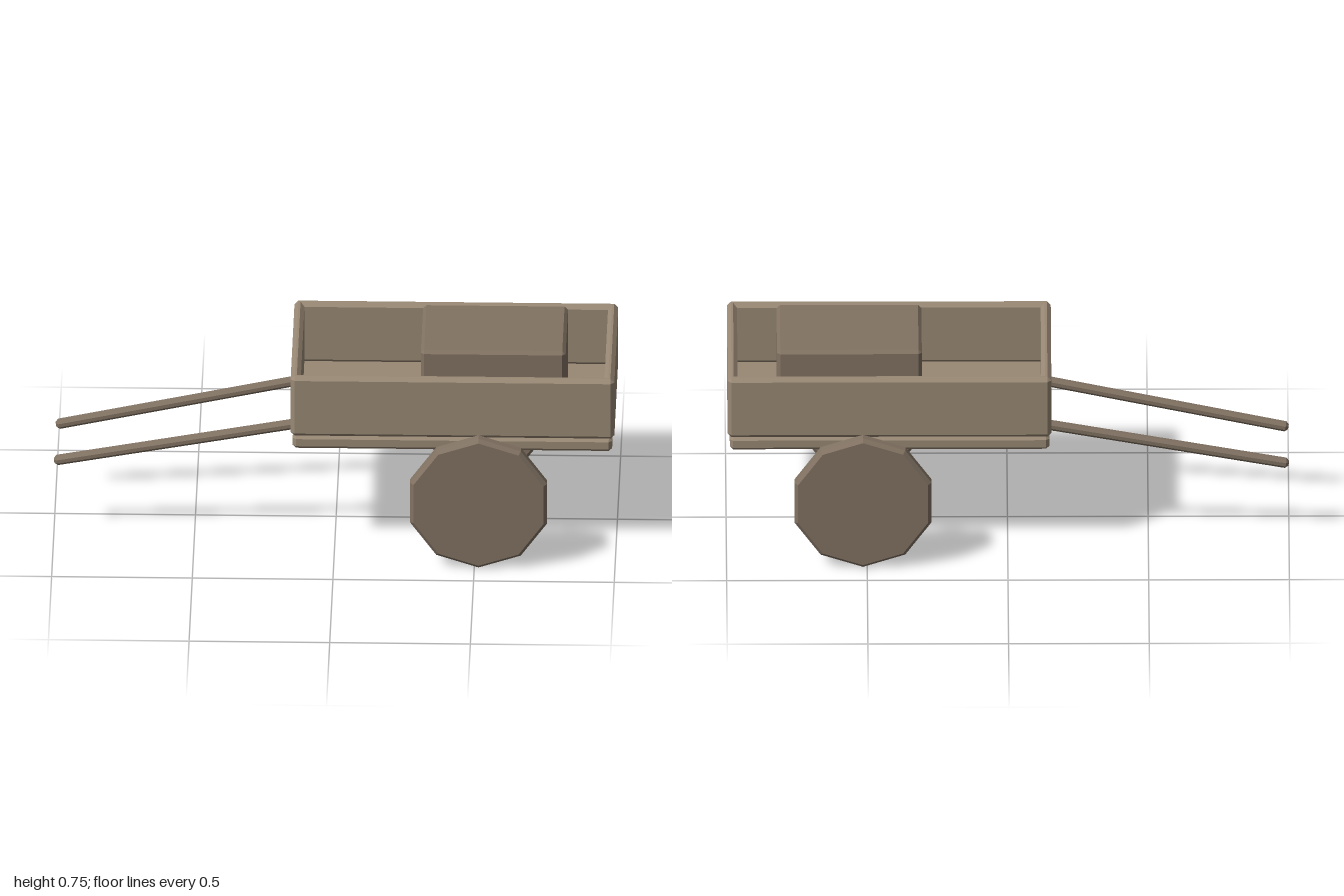
import * as THREE from 'three';
import { ConvexGeometry } from 'three/addons/geometries/ConvexGeometry.js';

const lightWood = new THREE.MeshStandardMaterial({ color: 0x998975, flatShading: true });
lightWood.name = 'lightWood';
const darkWood = new THREE.MeshStandardMaterial({ color: 0x827363, flatShading: true });
darkWood.name = 'darkWood';

// Box with every edge cut by a flat chamfer c
function chamferBox(w, h, d, c) {
  const points = [];
  for (const sx of [-1, 1]) for (const sy of [-1, 1]) for (const sz of [-1, 1]) {
    const x = w / 2, y = h / 2, z = d / 2;
    points.push(
      new THREE.Vector3(sx * x, sy * (y - c), sz * (z - c)),
      new THREE.Vector3(sx * (x - c), sy * y, sz * (z - c)),
      new THREE.Vector3(sx * (x - c), sy * (y - c), sz * z));
  }
  return new ConvexGeometry(points);
}

export function createModel() {
  const cart = new THREE.Group();
  cart.name = 'handcart';

  const add = (name, geometry, material, x, y, z) => {
    const mesh = new THREE.Mesh(geometry, material);
    mesh.name = name;
    mesh.position.set(x, y, z);
    cart.add(mesh);
    return mesh;
  };
  // Chamfered block given by its lower and upper limits
  const block = (name, material, [x0, x1], [y0, y1], [z0, z1], c) =>
    add(name, chamferBox(x1 - x0, y1 - y0, z1 - z0, c), material,
      (x0 + x1) / 2, (y0 + y1) / 2, (z0 + z1) / 2);

  // Bed and the four boards around it
  block('bed', lightWood, [-0.148, 0.988], [0.42, 0.472], [-0.308, 0.308], 0.012);
  const wallY = [0.47, 0.707];
  block('frontWall', lightWood, [-0.155, 0.996], wallY, [0.276, 0.312], 0.014);
  block('backWall', lightWood, [-0.155, 0.996], wallY, [-0.312, -0.276], 0.014);
  block('rightEndWall', lightWood, [-0.155, -0.119], wallY, [-0.312, 0.312], 0.014);
  block('leftEndWall', lightWood, [0.96, 0.996], wallY, [-0.312, 0.312], 0.014);

  // Load
  block('crate', darkWood, [0.305, 0.82], [0.468, 0.755], [-0.188, 0.188], 0.012);

  // Ten-sided solid wheels with chamfered rims
  const r = 0.256, h = 0.027, c = 0.013;
  const wheel = new THREE.LatheGeometry(
    [[0, -h], [r - c, -h], [r, c - h], [r, h - c], [r - c, h], [0, h]]
      .map(([x, y]) => new THREE.Vector2(x, y)), 10).rotateX(Math.PI / 2);

  for (const side of [1, -1]) {
    const label = side > 0 ? 'front' : 'back';
    add(label + 'Wheel', wheel, darkWood, 0.515, r, side * 0.379);

    // Pulling shaft, sloping down and slightly inward
    const start = new THREE.Vector3(-0.142, 0.453, side * 0.171);
    const end = new THREE.Vector3(-0.999, 0.283, side * 0.143);
    const direction = end.clone().sub(start);
    const middle = start.clone().add(end).multiplyScalar(0.5);
    const shaft = add(label + 'Shaft', chamferBox(0.035, 0.035, direction.length(), 0.011),
      darkWood, middle.x, middle.y, middle.z);
    shaft.lookAt(end);
  }
  return cart;
}
